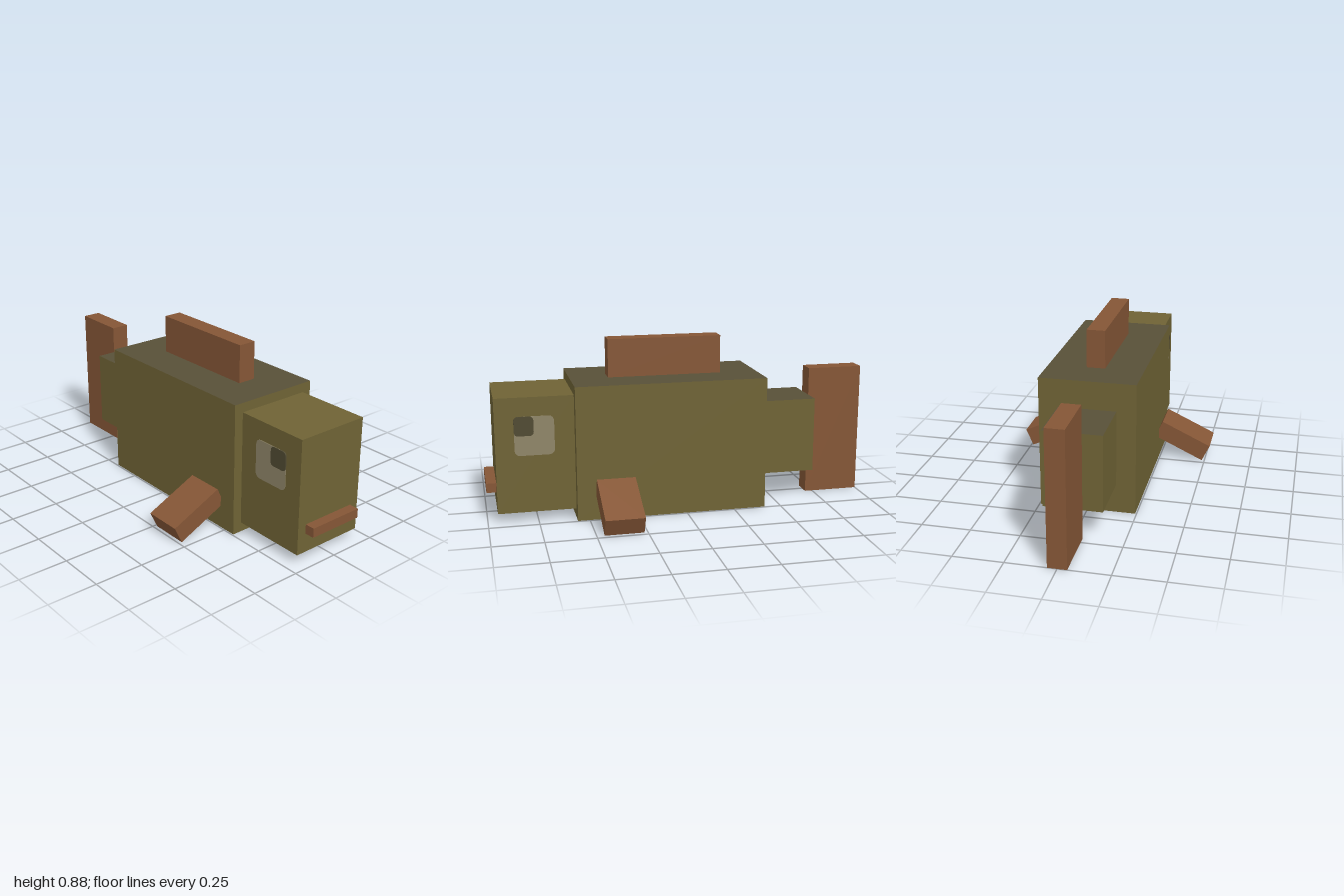
import * as THREE from 'three';

export function createModel() {
  const fish = new THREE.Group();
  fish.name = 'fish';

  const mat = (name, color) => {
    const m = new THREE.MeshStandardMaterial({ color });
    m.name = name;
    return m;
  };
  const olive = mat('olive scales', 0x6f6335);
  const back = mat('dark back', 0x585038);
  const belly = mat('pale belly', 0x8d8764);
  const rust = mat('rust fins', 0x855636);
  const eyeWhite = mat('eye', 0x8f8568);
  const pupilDark = mat('pupil', 0x504a32);

  // Box from its half width and its y and z ranges
  const block = (name, halfX, [y0, y1], [z0, z1], material) => {
    const mesh = new THREE.Mesh(new THREE.BoxGeometry(halfX * 2, y1 - y0, z1 - z0), material);
    mesh.position.set(0, (y0 + y1) / 2, (z0 + z1) / 2);
    mesh.name = name;
    fish.add(mesh);
  };
  // Face order: +x, -x, top, bottom, front, back
  const skin = (top) => [olive, olive, top, belly, olive, olive];

  block('body', 0.243, [0, 0.683], [-0.415, 0.56], skin(back));
  block('head', 0.195, [0.05, 0.635], [0.56, 0.95], skin(olive));
  block('tailBase', 0.146, [0.15, 0.54], [-0.71, -0.415], skin(back));
  block('tailFin', 0.047, [0, 0.683], [-1, -0.71], rust);
  block('dorsalFin', 0.047, [0.683, 0.878], [-0.22, 0.366], rust);
  block('mouth', 0.147, [0.148, 0.196], [0.95, 1], rust);

  // Rounded square plate, centred on its own origin
  const plate = (size, r, depth) => {
    const h = size / 2, k = h - r, s = new THREE.Shape();
    s.absarc(k, k, r, 0, Math.PI / 2);
    s.absarc(-k, k, r, Math.PI / 2, Math.PI);
    s.absarc(-k, -k, r, Math.PI, Math.PI * 1.5);
    s.absarc(k, -k, r, Math.PI * 1.5, Math.PI * 2);
    return new THREE.ExtrudeGeometry(s, { depth, bevelEnabled: false, curveSegments: 4 });
  };
  const eyeGeo = plate(0.197, 0.027, 0.003);
  const pupilGeo = plate(0.097, 0.02, 0.006);
  const finGeo = new THREE.BoxGeometry(0.291, 0.097, 0.195);

  for (const side of [1, -1]) {
    const label = side > 0 ? 'left' : 'right';

    // Side fin, drooping outwards
    const fin = new THREE.Mesh(finGeo, rust);
    fin.position.set(side * 0.375, 0.11, 0.367);
    fin.rotation.z = -side * THREE.MathUtils.degToRad(25);
    fin.name = label + 'SideFin';

    // Eye with the pupil in its upper front corner
    const eye = new THREE.Mesh(eyeGeo, eyeWhite);
    eye.position.set(side * 0.195, 0.441, 0.758);
    eye.name = label + 'Eye';
    const pupil = new THREE.Mesh(pupilGeo, pupilDark);
    pupil.position.set(side * 0.195, 0.491, 0.809);
    pupil.name = label + 'Pupil';
    eye.rotation.y = pupil.rotation.y = side * Math.PI / 2;

    fish.add(fin, eye, pupil);
  }
  return fish;
}
